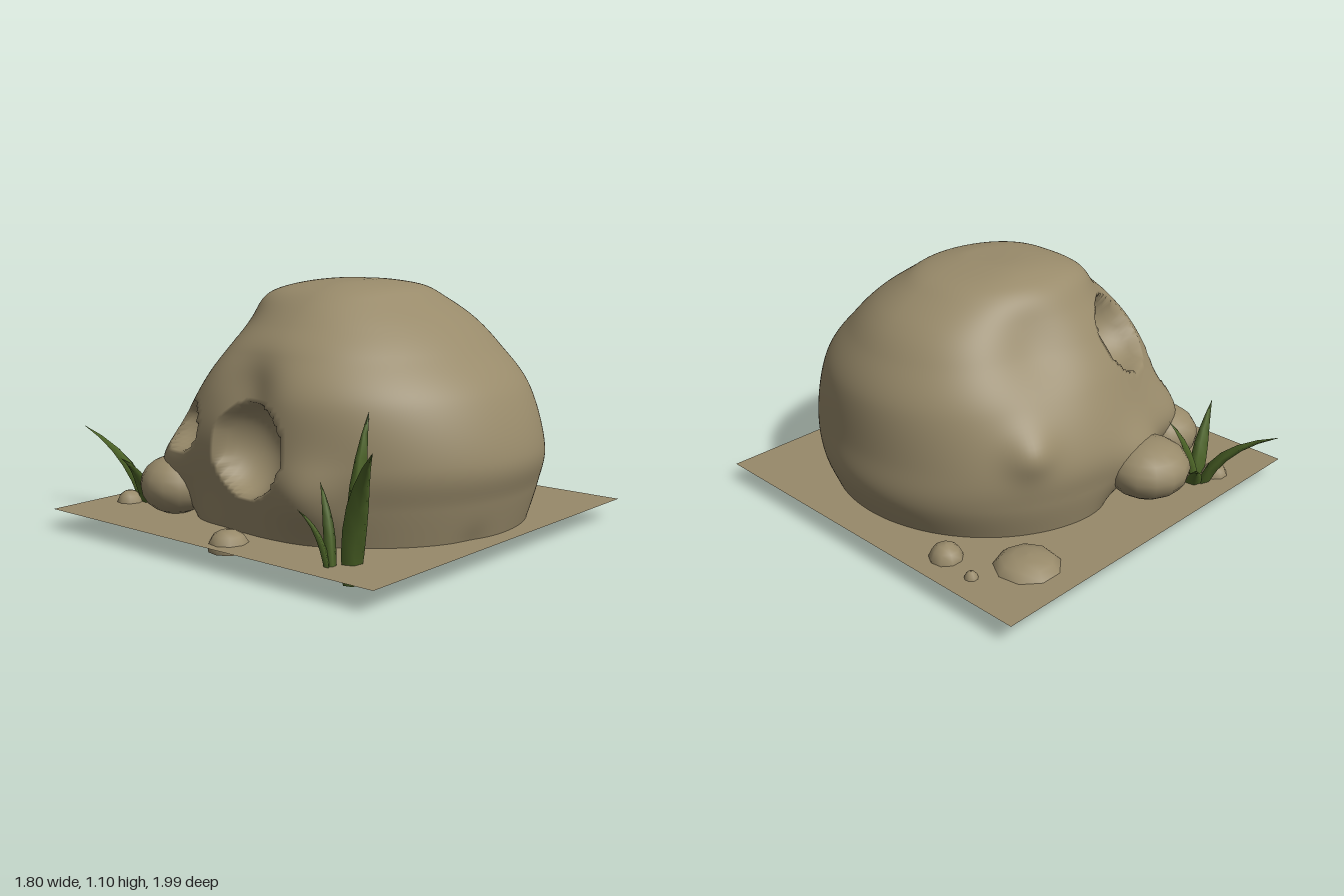
import * as THREE from 'three';

const V = (x, y, z) => new THREE.Vector3(x, y, z);
const GROUND = 0.1, BASE = 0.065;   // ground sheet, and the lower rims that reach through it

const material = (name, color) => {
  const m = new THREE.MeshStandardMaterial({ color, side: THREE.DoubleSide });
  m.name = name;
  return m;
};

// Closed skin over rows of equally long loops (rows run upward, loops run from +x to +z)
function skin(rows) {
  const n = rows[0].length, pos = [], idx = [];
  rows.forEach(row => row.forEach(p => pos.push(p.x, p.y, p.z)));
  for (let j = 0; j < rows.length - 1; j++) {
    for (let i = 0; i < n; i++) {
      const a = j * n + i, b = j * n + (i + 1) % n;
      idx.push(a, a + n, b, b, a + n, b + n);
    }
  }
  const g = new THREE.BufferGeometry();
  g.setAttribute('position', new THREE.Float32BufferAttribute(pos, 3));
  g.setIndex(idx);
  g.computeVertexNormals();
  return g;
}

// Extents of the cranium by height: y, xMin, xMax, zMin, zMax
const LAYERS = [
  [BASE, -0.64, 0.72, -0.50, 0.90],
  [0.25, -0.67, 0.79, -0.54, 0.95],
  [0.42, -0.69, 0.78, -0.55, 0.985],
  [0.66, -0.68, 0.75, -0.46, 0.90],
  [0.83, -0.58, 0.66, -0.36, 0.75],
  [0.94, -0.47, 0.57, -0.28, 0.63],
  [1.03, -0.36, 0.44, -0.20, 0.50],
  [1.08, -0.26, 0.33, -0.11, 0.42],
  [1.108, -0.13, 0.16, 0.01, 0.30],
  [1.112, 0.06, 0.06, 0.20, 0.20],
];
const AXIS = V(0.06, 0, 0.2);

// Soft swellings and hollows: centre, radius, outward push
const BUMPS = [
  [V(-0.60, 0.50, -0.24), 0.20, 0.06],   // nose bridge
  [V(-0.45, 0.30, -0.35), 0.20, 0.10],   // upper jaw
  [V(-0.19, 0.28, -0.55), 0.15, 0.09],   // root of one stump
  [V(-0.56, 0.28, -0.33), 0.14, 0.07],   // root of the other stump
  [V(-0.66, 0.05, -0.22), 0.15, 0.10],   // jaw corner
  [V(-0.22, 0.03, -0.42), 0.18, -0.14],  // palate
  [V(-0.46, 0.72, -0.06), 0.14, 0.03],   // brow between the eyes
  [V(-0.20, 1.06, -0.05), 0.15, 0.06],   // forehead
  [V(-0.68, 0.68, 0.14), 0.15, -0.06],   // brow over the side eye
  [V(-0.68, 0.28, 0.45), 0.15, 0.06],    // cheekbone
  [V(0.40, 0.50, -0.44), 0.10, 0.05],    // temple ridge
  [V(0.22, 0.82, -0.30), 0.22, -0.07],   // flat of the temple
  [V(-0.15, 0.05, 0.95), 0.08, -0.03],   // nape
];
// Sockets: centre, radius, depth
const SOCKETS = [
  [V(-0.33, 0.78, -0.29), 0.185, 0.19],
  [V(-0.65, 0.45, 0.16), 0.19, 0.19],
  [V(-0.60, 0.50, -0.25), 0.11, 0.11],
];

function sculpt(p) {
  const out = V(p.x - AXIS.x, 0, p.z - AXIS.z);
  if (out.lengthSq() < 1e-6) return p;
  out.normalize();
  let push = 0;
  for (const [c, r, d] of BUMPS) push += d * Math.exp(-p.distanceToSquared(c) / (r * r));
  p.addScaledVector(out, push);
  let deepest = 0, dir = null;
  for (const [c, r, depth] of SOCKETS) {
    const inward = V(0.1, 0.4, 0.2).sub(c).normalize();
    const rel = p.clone().sub(c), along = rel.dot(inward);
    const d = rel.addScaledVector(inward, -along).length() / r;
    if (d >= 1 || along > 0.3) continue;
    const amount = depth * (1 - d * d) ** 0.65;
    if (amount > deepest) { deepest = amount; dir = inward; }
  }
  return dir ? p.addScaledVector(dir, deepest) : p;
}

function craniumRows() {
  const COLS = 220, ROWS = 120, rows = [];
  const xs = new THREE.CatmullRomCurve3(LAYERS.map(l => V(l[1], l[0], l[2])), false, 'catmullrom');
  const zs = new THREE.CatmullRomCurve3(LAYERS.map(l => V(l[3], l[0], l[4])), false, 'catmullrom');
  for (let j = 0; j <= ROWS; j++) {
    const ex = xs.getPoint(j / ROWS), ez = zs.getPoint(j / ROWS), row = [];
    for (let i = 0; i < COLS; i++) {
      const a = i / COLS * Math.PI * 2, c = Math.cos(a), s = Math.sin(a);
      row.push(sculpt(V(
        AXIS.x + c * Math.abs((c > 0 ? ex.z : ex.x) - AXIS.x), ex.y,
        AXIS.z + s * Math.abs((s > 0 ? ez.z : ez.x) - AXIS.z))));
    }
    rows.push(row);
  }
  return rows;
}

// Tapered four-sided blade bending from base to tip
function bladeGeometry(base, tip, width) {
  const ctrl = base.clone().lerp(tip, 0.1).setY(base.y + (tip.y - base.y) * 0.65);
  const curve = new THREE.QuadraticBezierCurve3(base, ctrl, tip);
  const widths = [0.7, 0.95, 1, 0.9, 0.65, 0.35, 0.01], rows = [];
  const side = V(tip.z - base.z, 0, base.x - tip.x).normalize();
  widths.forEach((w, j) => {
    const t = j / (widths.length - 1), p = curve.getPoint(t);
    const fwd = side.clone().cross(curve.getTangent(t));
    rows.push([[1, 0], [0, 0.6], [-1, 0], [0, -0.6]].map(([u, v]) =>
      p.clone().addScaledVector(side, u * w * width).addScaledVector(fwd, -v * w * width)));
  });
  return skin(rows);
}

export function createModel() {
  const root = new THREE.Group();
  root.name = 'skullRock';
  const stone = material('stone', 0x988a6a);
  const green = material('grassGreen', 0x4e6628);
  const dark = material('hollowBlack', 0x050505);

  const add = (parent, name, geo, mat, x = 0, y = 0, z = 0) => {
    const m = new THREE.Mesh(geo, mat);
    m.name = name;
    m.position.set(x, y, z);
    parent.add(m);
    return m;
  };

  // Ground sheet
  add(root, 'ground', new THREE.PlaneGeometry(1.8, 1.8).rotateX(-Math.PI / 2), stone, 0, GROUND, 0.09);

  // Cranium and the dark hollow inside its rim
  const rows = craniumRows();
  add(root, 'cranium', skin(rows), stone);
  const footprint = new THREE.Shape(rows[0].map(p => new THREE.Vector2(p.x, p.z)));
  add(root, 'craniumHollow', new THREE.ShapeGeometry(footprint).rotateX(Math.PI / 2), dark, 0, GROUND - 0.004, 0);

  // Two rounded stumps of the upper jaw
  [[-0.19, 0.26, -0.58, 0.19, 0.13, 0.19], [-0.56, 0.22, -0.38, 0.16, 0.13, 0.16]].forEach(([x, y, z, a, b, c]) => {
    add(root, 'jawStump', new THREE.SphereGeometry(1, 14, 10).scale(a, b, c), stone, x, y, z);
  });

  // Pebbles: x, z, radius, height
  const pebbles = new THREE.Group();
  pebbles.name = 'pebbles';
  root.add(pebbles);
  [[0.56, -0.57, 0.148, 0.088], [0.75, -0.29, 0.075, 0.1], [0.78, -0.47, 0.033, 0.065],
    [-0.78, 0.16, 0.085, 0.085], [-0.58, -0.67, 0.062, 0.085]].forEach(([x, z, r, h]) => {
    const profile = [[0.97, 0], [1, 0.2 * h], [0.95, 0.45 * h], [0.75, 0.77 * h], [0.4, 0.96 * h], [0, h]];
    add(pebbles, 'pebble', new THREE.LatheGeometry(profile.map(([u, v]) => new THREE.Vector2(u * r, v)), 9), stone, x, BASE, z);
    add(pebbles, 'pebbleHollow', new THREE.CircleGeometry(r * 0.93, 9).rotateX(Math.PI / 2), dark, x, GROUND - 0.004, z);
  });

  // Grass tufts: base, tip, half width
  const tufts = {
    backGrass: [
      [V(-0.49, 0.03, -0.66), V(-0.57, 0.41, -1.0), 0.042],
      [V(-0.52, 0.03, -0.61), V(-0.77, 0.35, -0.50), 0.036],
      [V(-0.46, 0.03, -0.64), V(-0.32, 0.24, -0.76), 0.036],
      [V(-0.48, 0.03, -0.64), V(-0.44, 0.36, -0.50), 0.034],
    ],
    frontGrass: [
      [V(-0.69, 0.015, 0.72), V(-0.895, 0.585, 0.98), 0.047],
      [V(-0.68, 0.03, 0.72), V(-0.515, 0.645, 0.66), 0.038],
      [V(-0.78, 0.06, 0.68), V(-0.89, 0.33, 0.625), 0.023],
      [V(-0.77, 0.06, 0.69), V(-0.73, 0.40, 0.60), 0.025],
    ],
  };
  for (const [name, blades] of Object.entries(tufts)) {
    const tuft = new THREE.Group();
    tuft.name = name;
    blades.forEach(([base, tip, w]) => add(tuft, 'blade', bladeGeometry(base, tip, w), green));
    root.add(tuft);
  }
  return root;
}
